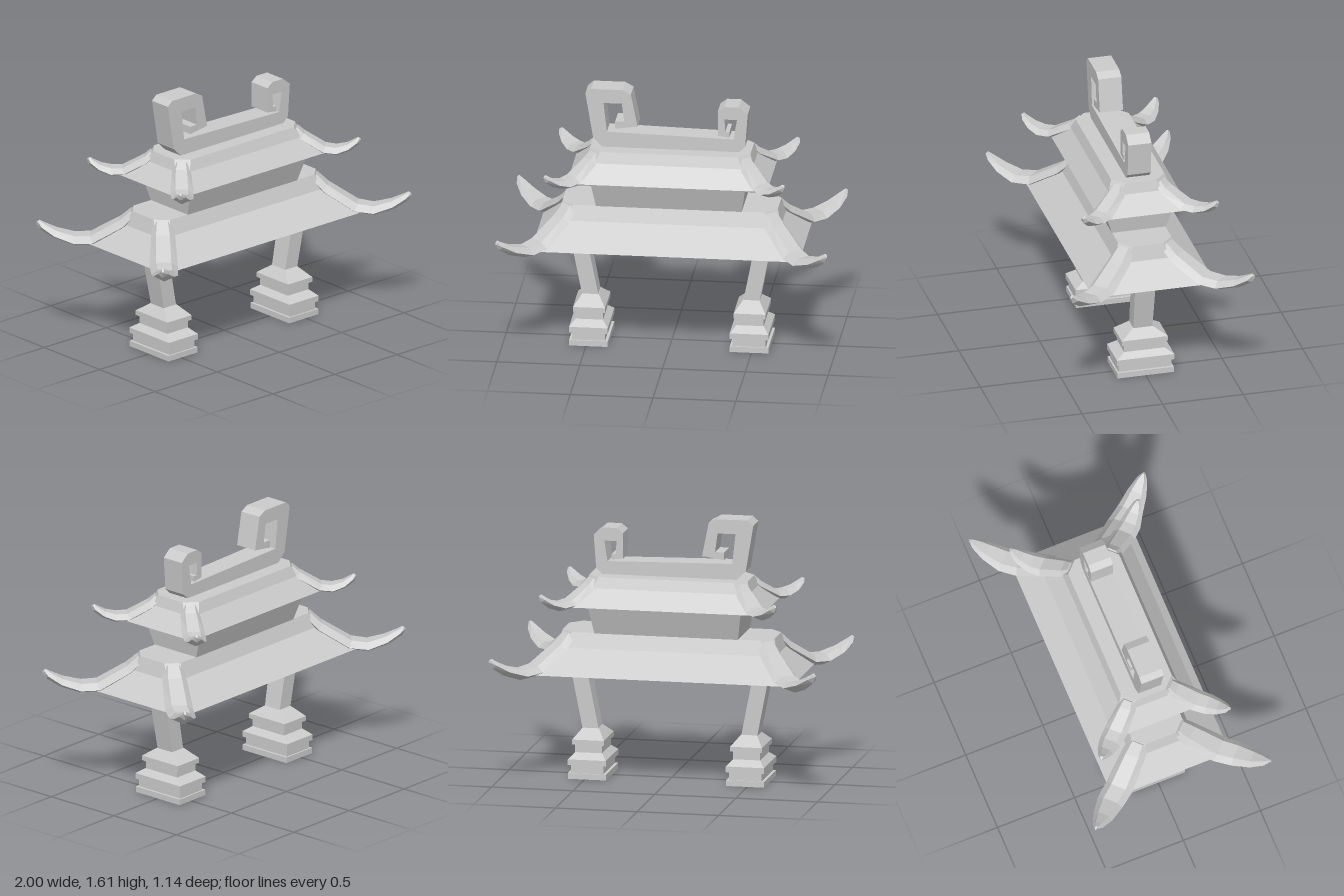
import * as THREE from 'three';

const material = new THREE.MeshStandardMaterial({ color: 0xcccccc, flatShading: true, side: THREE.DoubleSide });

// Skin a list of equally sized rings, optionally closing either end
function loft(name, rings, capStart, capEnd) {
  const pos = [];
  const tri = (...pts) => pts.forEach((p) => pos.push(p.x, p.y, p.z));
  const n = rings[0].length;
  for (let r = 0; r < rings.length - 1; r++) {
    const a = rings[r], b = rings[r + 1];
    for (let i = 0; i < n; i++) {
      const j = (i + 1) % n;
      tri(a[i], b[i], a[j]);
      tri(a[j], b[i], b[j]);
    }
  }
  const first = rings[0], last = rings[rings.length - 1];
  for (let i = 1; i < n - 1; i++) {
    if (capStart) tri(first[0], first[i], first[i + 1]);
    if (capEnd) tri(last[0], last[i + 1], last[i]);
  }
  const geo = new THREE.BufferGeometry();
  geo.setAttribute('position', new THREE.Float32BufferAttribute(pos, 3));
  geo.computeVertexNormals();
  const mesh = new THREE.Mesh(geo, material);
  mesh.name = name;
  return mesh;
}

// Horizontal rectangle ring
function rect(hx, hz, y, cx = 0) {
  return [[1, -1], [1, 1], [-1, 1], [-1, -1]].map(([sx, sz]) => new THREE.Vector3(cx + sx * hx, y, sz * hz));
}

// Horizontal rectangle ring with cut corners
function cutRect(hx, hz, cut, y) {
  return [
    [hx, -hz + cut], [hx, hz - cut], [hx - cut, hz], [-hx + cut, hz],
    [-hx, hz - cut], [-hx, -hz + cut], [-hx + cut, -hz], [hx - cut, -hz],
  ].map(([x, z]) => new THREE.Vector3(x, y, z));
}

// Upswept corner ridge; stations are [x, y, z, half width, half thickness]
function cornerRidge(stations) {
  const side = new THREE.Vector3(-1, 0, 1).normalize();
  const section = [[1, 0], [0.55, 1], [-0.55, 1], [-1, 0], [0, -1]];
  const centres = stations.map(([x, y, z]) => new THREE.Vector3(x, y, z));
  const rings = stations.map(([, , , w, t], i) => {
    const dir = centres[Math.min(i + 1, centres.length - 1)].clone().sub(centres[Math.max(i - 1, 0)]).normalize();
    const up = new THREE.Vector3().crossVectors(dir, side).normalize();
    if (up.y < 0) up.negate();
    return section.map(([l, n]) => centres[i].clone().addScaledVector(side, l * w).addScaledVector(up, n * t));
  });
  return loft('cornerRidge', rings, true, true);
}

// Hipped roof shell with a ridge on each corner
function roof(name, levels, stations) {
  const group = new THREE.Group();
  group.name = name;
  group.add(loft('roofSlopes', levels.map((l) => cutRect(...l)), false, true));
  for (const sx of [1, -1]) {
    for (const sz of [1, -1]) {
      const ridge = cornerRidge(stations);
      ridge.scale.set(sx, 1, sz);
      group.add(ridge);
    }
  }
  return group;
}

export function createModel() {
  const model = new THREE.Group();
  model.name = 'gate';

  // Stepped feet and inward-leaning pillars
  const footSteps = [
    [0.117, 0.175, 0], [0.117, 0.175, 0.035], [0.1, 0.165, 0.035], [0.1, 0.165, 0.085],
    [0.117, 0.178, 0.085], [0.117, 0.178, 0.12], [0.083, 0.125, 0.155], [0.083, 0.125, 0.205],
    [0.097, 0.143, 0.205], [0.097, 0.143, 0.235], [0.05, 0.06, 0.293],
  ];
  for (const s of [1, -1]) {
    model.add(loft('foot', footSteps.map(([hx, hz, y]) => rect(hx, hz, y, s * 0.485)), false, true));
    model.add(loft('pillar', [rect(0.049, 0.059, 0.27, s * 0.483), rect(0.049, 0.068, 0.88, s * 0.602)], true, true));
  }

  // Lower roof
  model.add(roof('lowerRoof',
    [[0.81, 0.38, 0.01, 0.67], [0.675, 0.2, 0.06, 0.81], [0.65, 0.165, 0.07, 0.9]],
    [[0.605, 0.87, 0.125, 0.06, 0.033], [0.65, 0.8, 0.18, 0.075, 0.038], [0.77, 0.69, 0.32, 0.085, 0.038],
      [0.84, 0.68, 0.41, 0.08, 0.035], [0.92, 0.715, 0.49, 0.06, 0.03], [0.975, 0.76, 0.545, 0.032, 0.024],
      [0.995, 0.79, 0.565, 0.008, 0.014]]));

  // Flared body between the roofs
  model.add(loft('body', [rect(0.44, 0.165, 0.895), rect(0.47, 0.228, 1.08)], true, true));

  // Upper roof
  model.add(roof('upperRoof',
    [[0.605, 0.28, 0.01, 1.075], [0.505, 0.19, 0.06, 1.18], [0.485, 0.165, 0.07, 1.245]],
    [[0.45, 1.215, 0.125, 0.045, 0.03], [0.48, 1.17, 0.155, 0.06, 0.034], [0.57, 1.095, 0.26, 0.07, 0.03],
      [0.62, 1.088, 0.32, 0.066, 0.03], [0.67, 1.11, 0.37, 0.05, 0.025], [0.708, 1.145, 0.405, 0.028, 0.02],
      [0.72, 1.168, 0.415, 0.01, 0.012]]));

  // Ridge crest, a flat band curling into a scroll at each end
  const crest = new THREE.Shape([
    [-0.41, 1.243], [0.41, 1.243], [0.45, 1.28], [0.465, 1.485], [0.41, 1.53], [0.325, 1.53],
    [0.285, 1.5], [0.285, 1.345], [0.355, 1.335], [0.355, 1.37], [0.33, 1.37], [0.325, 1.45],
    [0.4, 1.45], [0.38, 1.325], [-0.385, 1.342], [-0.405, 1.525], [-0.295, 1.525], [-0.28, 1.41],
    [-0.335, 1.41], [-0.335, 1.363], [-0.2, 1.382], [-0.24, 1.585], [-0.29, 1.612], [-0.48, 1.612],
    [-0.515, 1.582], [-0.468, 1.3],
  ].map(([x, y]) => new THREE.Vector2(x, y)));
  const crestMesh = new THREE.Mesh(
    new THREE.ExtrudeGeometry(crest, { depth: 0.144, bevelEnabled: false }).translate(0, 0, -0.072), material);
  crestMesh.name = 'ridgeCrest';
  model.add(crestMesh);

  return model;
}
